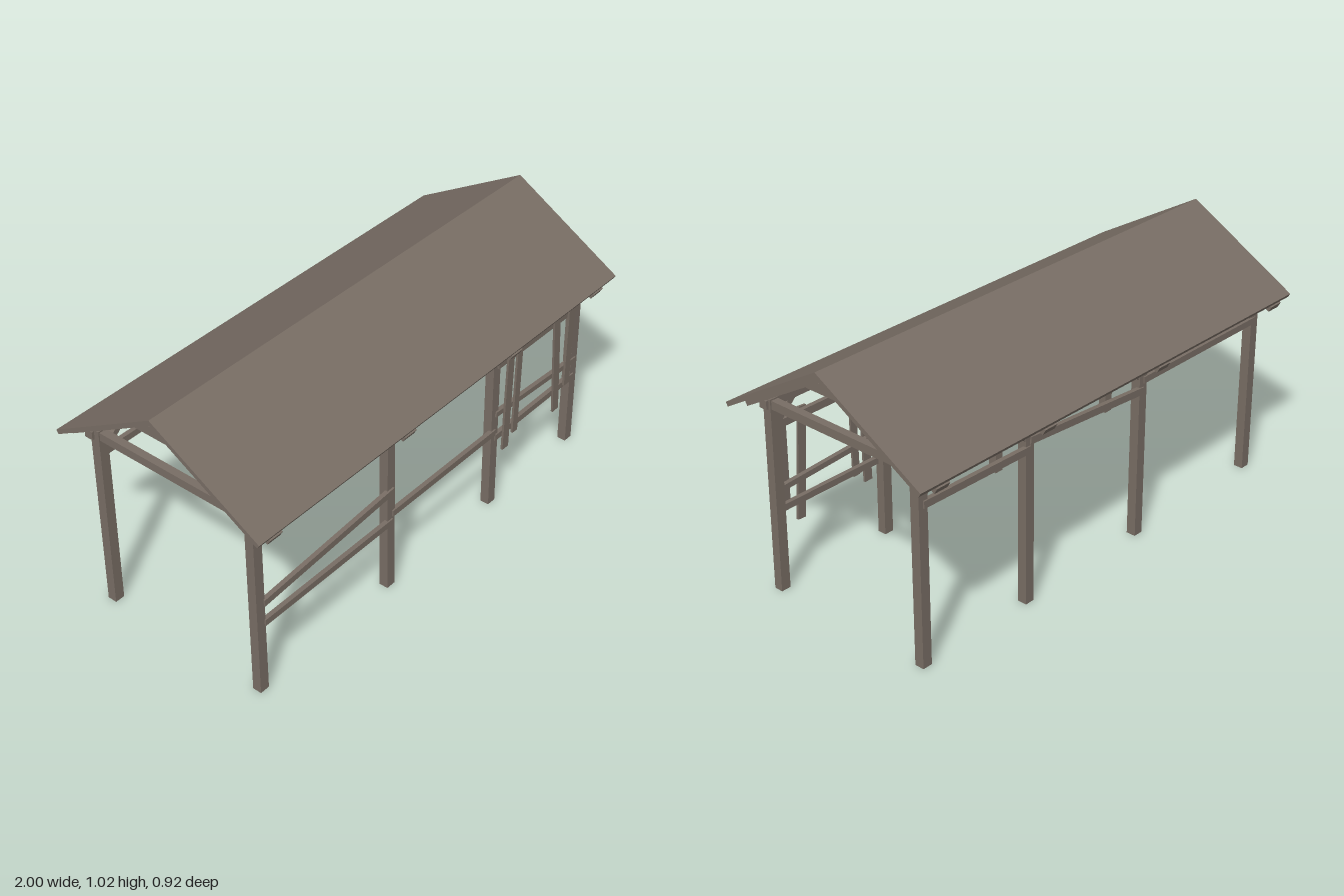
import * as THREE from 'three';

const SLOPE = 0.577; // rise per unit of run
const APEX = 1.018;

export function createModel() {
  const group = new THREE.Group();
  const wood = new THREE.MeshStandardMaterial({ color: 0x786d64 });
  wood.name = 'weathered wood';

  const add = (name, geometry) => {
    const mesh = new THREE.Mesh(geometry, wood);
    mesh.name = name;
    group.add(mesh);
    return mesh;
  };

  // Straight timber from a to b; w is its size in the plane of the turn, d the depth across it
  const beam = (name, a, b, w, d) => {
    const p = new THREE.Vector3(...a), q = new THREE.Vector3(...b);
    const dir = q.clone().sub(p);
    const mesh = add(name, new THREE.BoxGeometry(w, dir.length(), d));
    mesh.position.copy(p).add(q).multiplyScalar(0.5);
    mesh.quaternion.setFromUnitVectors(new THREE.Vector3(0, 1, 0), dir.normalize());
    return mesh;
  };

  // Gable chevron between two depths below the roof line, with square-cut eaves
  const chevron = (name, top, bottom, run, x0, x1) => {
    const at = (z, drop) => {
      const inset = drop * 0.433; // square cut moves inwards as it goes down
      return [z - inset, APEX - (z - inset) * SLOPE - drop];
    };
    const [z1, y1] = at(run, top), [z2, y2] = at(run, bottom);
    const shape = new THREE.Shape([
      [0, APEX - top], [-z1, y1], [-z2, y2],
      [0, APEX - bottom], [z2, y2], [z1, y1],
    ].map(([u, v]) => new THREE.Vector2(u, v)));
    const geo = new THREE.ExtrudeGeometry(shape, { depth: x1 - x0, bevelEnabled: false });
    geo.rotateY(Math.PI / 2).translate(x0, 0, 0);
    add(name, geo);
  };

  // Roof covering
  chevron('roof', 0, 0.02, 0.459, -1, 0.995);

  // Posts, rafters and collar ties
  const postX = [-0.915, -0.235, 0.375, 0.888];
  for (const x of postX) {
    beam('frontPost', [x, 0, 0.36], [x, 0.77, 0.351], 0.04, 0.036);
    beam('backPost', [x, 0, -0.341], [x, 0.77, -0.342], 0.04, 0.038);
    chevron('rafter', 0.021, 0.05, 0.464, x - 0.03, x + 0.03);
    beam('collarTie', [x, 0.895, -0.15], [x, 0.895, 0.15], 0.03, 0.038);
  }
  for (const x of [postX[0], postX[3]])
    beam('tieBeam', [x, 0.748, -0.35], [x, 0.748, 0.35], 0.03, 0.033);

  // Ridge beam and wall plates
  beam('ridgeBeam', [-0.95, 0.958, 0], [0.95, 0.958, 0], 0.028, 0.038);
  for (const z of [0.36, -0.362])
    beam('wallPlate', [-0.945, 0.748, z], [0.918, 0.748, z], 0.033, 0.035);

  // Diagonal braces under the plates
  for (const z of [0.356, -0.345]) {
    postX.forEach((x, i) => {
      for (const s of [-1, 1]) {
        if ((i === 0 && s < 0) || (i === 3 && s > 0)) continue;
        beam('brace', [x + s * 0.012, 0.66, z], [x + s * 0.095, 0.742, z], 0.024, 0.024);
      }
    });
  }

  // Side rails: x and y at each end, height
  const frontRails = [
    [-0.9, 0.39, -0.225, 0.44, 0.027], [-0.9, 0.302, -0.23, 0.302, 0.026],
    [-0.23, 0.337, 0.375, 0.337, 0.026], [0.375, 0.418, 0.89, 0.388, 0.022],
    [0.375, 0.31, 0.885, 0.312, 0.026], [0.375, 0.642, 0.885, 0.642, 0.03],
  ];
  const backRails = [
    [-0.915, 0.645, -0.235, 0.645, 0.026], [-0.235, 0.604, 0.375, 0.65, 0.028],
    [0.375, 0.617, 0.888, 0.628, 0.028],
  ];
  for (const [x0, y0, x1, y1, h] of frontRails)
    beam('frontRail', [x0, y0, 0.371], [x1, y1, 0.371], h, 0.018);
  for (const [x0, y0, x1, y1, h] of backRails)
    beam('backRail', [x0, y0, -0.357], [x1, y1, -0.357], h, 0.018);

  // Loose upright planks in the last bay
  const planks = [
    [0.432, 0.235, 0.44, 0.67, 0.036], [0.489, 0.28, 0.494, 0.662, 0.03],
    [0.762, 0.222, 0.729, 0.662, 0.036], [0.826, 0.31, 0.824, 0.66, 0.034],
  ];
  for (const [x0, y0, x1, y1, w] of planks)
    beam('plank', [x0, y0, 0.384], [x1, y1, 0.384], w, 0.009);

  return group;
}
